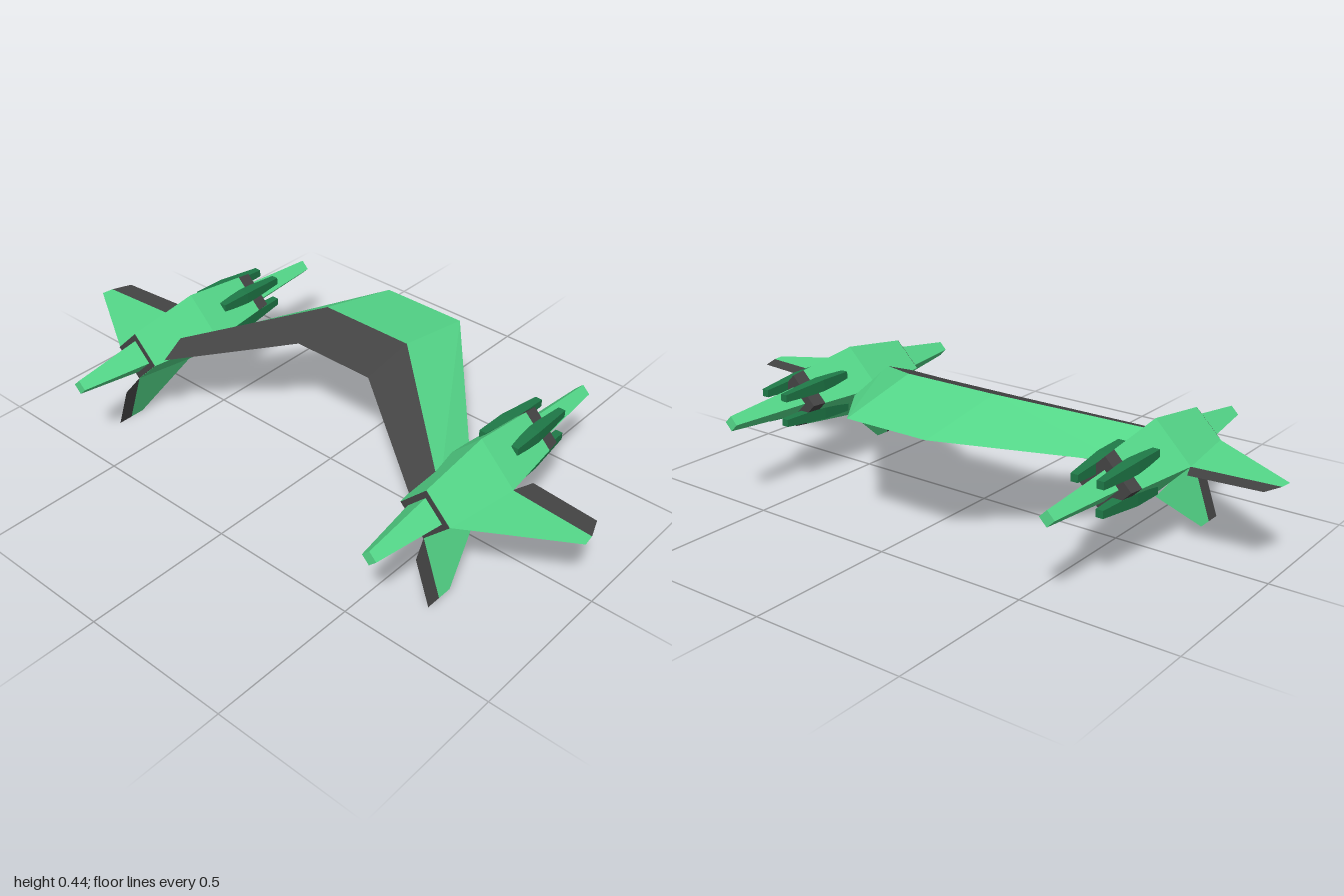
import * as THREE from 'three';

const material = (color, side = THREE.FrontSide) =>
  new THREE.MeshStandardMaterial({ color, flatShading: true, side });
const green = material(0x55d98a);
const deepGreen = material(0x1f7a48);
const dark = material(0x444444);
const greenPanel = material(0x55d98a, THREE.DoubleSide);
const darkPanel = material(0x444444, THREE.DoubleSide);

function mesh(name, positions, mat) {
  const geometry = new THREE.BufferGeometry();
  geometry.setAttribute('position', new THREE.Float32BufferAttribute(positions.flat(), 3));
  geometry.computeVertexNormals();
  const part = new THREE.Mesh(geometry, mat);
  part.name = name;
  return part;
}

// Joins four-cornered cross-sections; corners run counter-clockwise seen from the first section
function loft(name, sections, mat, sides = [0, 1, 2, 3], caps = true) {
  const out = [];
  for (let i = 0; i < sections.length - 1; i++) {
    const a = sections[i], b = sections[i + 1];
    for (const j of sides) {
      const k = (j + 1) % 4;
      out.push(a[j], b[j], a[k], a[k], b[j], b[k]);
    }
  }
  if (caps) {
    const a = sections[0], b = sections[sections.length - 1];
    out.push(a[0], a[1], a[2], a[0], a[2], a[3], b[0], b[2], b[1], b[0], b[3], b[2]);
  }
  return mesh(name, out, mat);
}

// Flat four-cornered panel
const panel = (name, [a, b, c, d], mat) => mesh(name, [a, b, c, a, c, d], mat);

const diamond = (r, z) => [[r, 0, z], [0, r, z], [-r, 0, z], [0, -r, z]];
const square = (x, y, h, z) =>
  [[x + h, y + h, z], [x - h, y + h, z], [x - h, y - h, z], [x + h, y - h, z]];

const POD_X = 0.6, POD_Y = 0.276;

function createPod(side) {
  const pod = new THREE.Group();
  pod.name = side > 0 ? 'leftPod' : 'rightPod';
  pod.position.set(side * POD_X, POD_Y, 0);

  // Hull with dark front opening and rear band
  pod.add(
    loft('hull', [diamond(0.087, 0.28), diamond(0.122, 0.03), diamond(0.094, -0.195)], green),
    loft('hullFrontRim', [diamond(0.086, 0.282), diamond(0.086, 0.279)], dark),
    loft('rearBand', [diamond(0.094, -0.195), diamond(0.088, -0.242)], dark),
    loft('noseSpike', [diamond(0.025, 0.52), diamond(0.061, 0.28)], green),
    loft('tailSpike', [diamond(0.048, -0.24), diamond(0.025, -0.52)], green)
  );

  // One thruster on each rear face of the hull
  for (const sx of [1, -1]) for (const sy of [1, -1]) {
    const section = (c, h, z) => square(sx * c, sy * c, h, z);
    pod.add(loft('thruster',
      [section(0.057, 0.012, -0.06), section(0.047, 0.021, -0.17), section(0.042, 0.012, -0.33)],
      deepGreen));
  }

  // Horizontal outer wing: [distance outward, z]
  const wing = (points) => points.map(([x, z]) => [side * x, 0, z]);
  pod.add(
    panel('outerWing', wing([[0.085, 0.28], [0.4, 0.09], [0.395, 0.05], [0.12, 0.03]]), greenPanel),
    panel('outerWingFlap', wing([[0.12, 0.03], [0.395, 0.05], [0.37, -0.015], [0.145, -0.035]]), darkPanel)
  );

  // Lower fin, leaning outward: [z, height above ground]
  const fin = (points) => points.map(([z, y]) =>
    [side * 0.066 * (1 - y / 0.19), y - POD_Y, z]);
  pod.add(
    panel('lowerFin', fin([[0.28, 0.19], [0.28, 0], [0.23, 0], [0.03, 0.155]]), greenPanel),
    panel('lowerFinFlap', fin([[0.28, 0.19], [0.33, 0.15], [0.33, 0], [0.28, 0]]), darkPanel)
  );
  return pod;
}

export function createModel() {
  const model = new THREE.Group();
  model.name = 'twinPodCraft';
  model.add(createPod(1), createPod(-1));

  // Swept centre wing: trailing edge, top ridge, leading edge, bottom ridge
  const root = [[0.15, 0.376, -0.468], [0.165, 0.436, -0.17], [0.145, 0.381, -0.01], [0.155, 0.322, -0.17]];
  const tip = [[0.53, 0.26, -0.025], [0.58, 0.296, 0.19], [0.535, 0.273, 0.257], [0.56, 0.237, 0.17]];
  const mirror = (section) => section.map(([x, y, z]) => [-x, y, z]);
  const span = [tip, root, mirror(root), mirror(tip)];
  model.add(
    loft('centreWing', span, green, [0, 3], false),
    loft('centreWingLeadingFace', span, dark, [1, 2], false)
  );
  return model;
}
